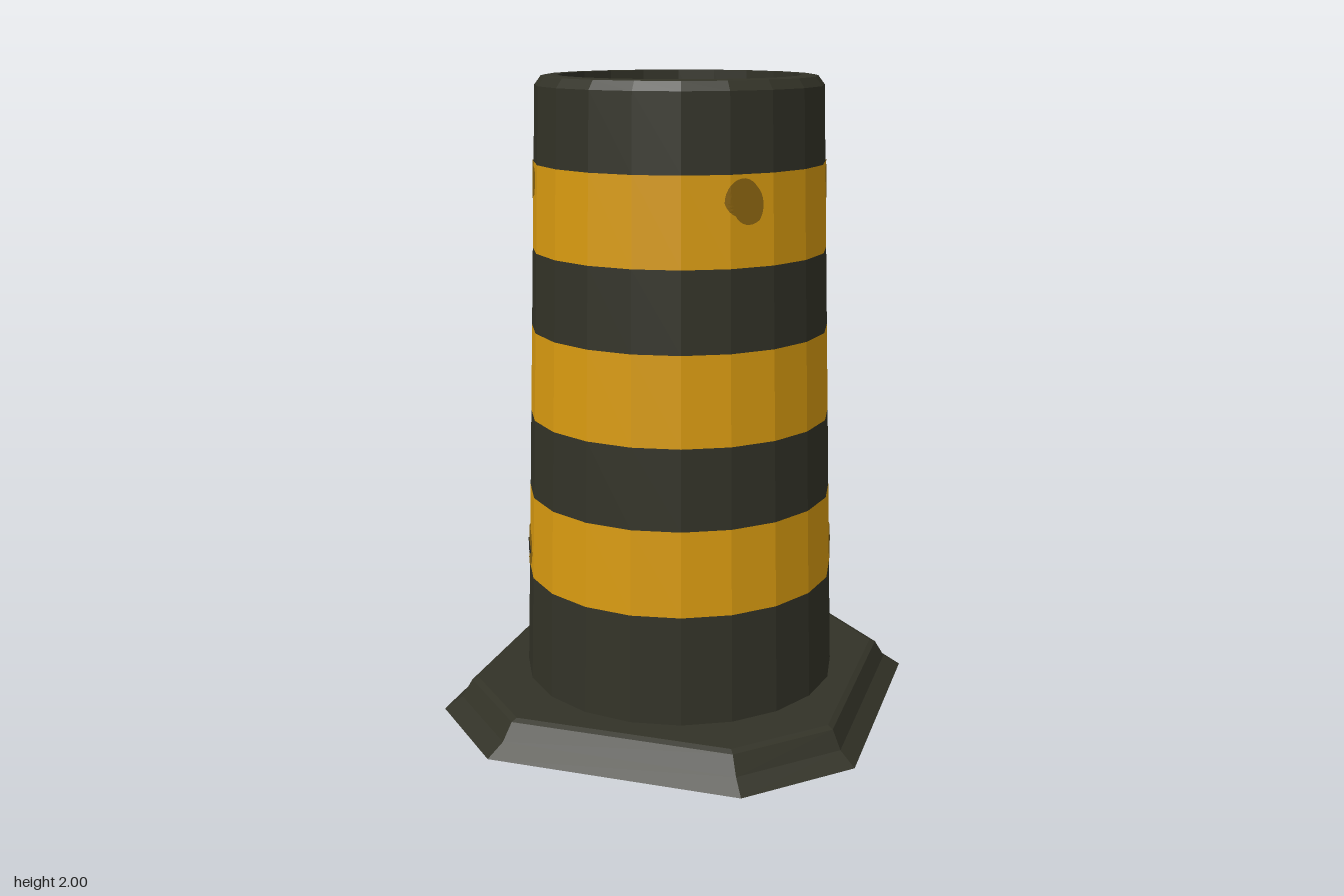
import * as THREE from 'three';

const SIDES = 20, STEP = (Math.PI * 2) / SIDES;
const INNER = 0.37;

const mat = (name, color, extra = {}) => {
  const m = new THREE.MeshStandardMaterial({ color, flatShading: true, ...extra });
  m.name = name;
  return m;
};

// Outer wall radius at a height
const outerRadius = (y) => 0.5 - (y - 0.1) * (0.06 / 1.87);
const innerRadius = () => INNER;
// Inside bands sit a little differently from the outside ones
const toInner = (y) => 0.1 + (y - 0.44) * 1.23;

// Octagon corners for half width w and corner offset c, counterclockwise
const octagon = (w, c) => [[w, -c], [w, c], [c, w], [-c, w], [-w, c], [-w, -c], [-c, -w], [c, -w]];

function octagonPlate(w, c, holeRadius) {
  const shape = new THREE.Shape(octagon(w, c).map(([x, y]) => new THREE.Vector2(x, y)));
  const hole = [];
  for (let i = 0; i < SIDES; i++) {
    hole.push(new THREE.Vector2(Math.sin(i * STEP) * holeRadius, Math.cos(i * STEP) * holeRadius));
  }
  shape.holes.push(new THREE.Path(hole));
  return new THREE.ShapeGeometry(shape);
}

// Sloping skirt joined from octagon cross-sections
function skirtGeometry(sections) {
  const pos = [], index = [];
  sections.forEach(([w, c, y]) => octagon(w, c).forEach(([x, z]) => pos.push(x, y, -z)));
  for (let s = 0; s < sections.length - 1; s++) {
    for (let i = 0; i < 8; i++) {
      const a = s * 8 + i, b = s * 8 + ((i + 1) % 8);
      index.push(a, b, b + 8, a, b + 8, a + 8);
    }
  }
  const g = new THREE.BufferGeometry();
  g.setAttribute('position', new THREE.Float32BufferAttribute(pos, 3));
  g.setIndex(index);
  g.computeVertexNormals();
  return g;
}

// Irregular thin patch wrapped on the faceted wall
function patchGeometry(angle, y, width, height, lobes, radiusAt, lift) {
  const g = new THREE.RingGeometry(0.001, 1, 32, 8);
  const p = g.attributes.position;
  for (let i = 0; i < p.count; i++) {
    const px = p.getX(i), py = p.getY(i);
    const t = (Math.atan2(py, px) / (Math.PI * 2) + 1) * lobes.length;
    const k = Math.floor(t), f = t - k;
    const size = lobes[k % lobes.length] * (1 - f) + lobes[(k + 1) % lobes.length] * f;
    const py2 = y + py * size * height / 2;
    const R = radiusAt(py2);
    const a = angle + px * size * width / 2 / R;
    const local = a - (Math.floor(a / STEP) + 0.5) * STEP;
    const r = R * Math.cos(STEP / 2) / Math.cos(local) + lift;
    p.setXYZ(i, Math.sin(a) * r, py2, Math.cos(a) * r);
  }
  g.computeVertexNormals();
  return g;
}

export function createModel() {
  const black = mat('charcoal rubber', 0x323227);
  const yellow = mat('amber band', 0xd89a10);
  const worn = mat('worn amber', 0x8c6510, { side: THREE.DoubleSide });
  const bare = mat('bare spot', 0x2c2c28, { side: THREE.DoubleSide });

  const model = new THREE.Group();
  model.name = 'trafficBollard';
  const add = (parent, name, geometry, material) => {
    const m = new THREE.Mesh(geometry, material);
    m.name = name;
    parent.add(m);
  };
  const lathe = (points) =>
    new THREE.LatheGeometry(points.map(([r, y]) => new THREE.Vector2(r, y)), SIDES);

  // Octagonal base
  const base = new THREE.Group();
  base.name = 'base';
  model.add(base);
  add(base, 'baseSkirt', skirtGeometry([
    [0.67, 0.395, 0], [0.62, 0.366, 0.037], [0.592, 0.348, 0.092], [0.575, 0.338, 0.1],
  ]), black);
  add(base, 'baseTop', octagonPlate(0.575, 0.338, 0.49).rotateX(-Math.PI / 2).translate(0, 0.1, 0), black);
  add(base, 'baseUnderside', octagonPlate(0.67, 0.395, INNER).rotateX(Math.PI / 2), black);

  // Tapered banded wall, outside and inside
  const levels = [0.1, 0.44, 0.705, 0.955, 1.23, 1.475, 1.74, 1.97];
  const wall = new THREE.Group();
  wall.name = 'wall';
  model.add(wall);
  for (let i = 0; i < levels.length - 1; i++) {
    const lo = levels[i], hi = levels[i + 1];
    const material = i % 2 ? yellow : black;
    add(wall, 'outerBand', lathe([[outerRadius(lo), lo], [outerRadius(hi), hi]]), material);
    const inLo = i === 0 ? 0 : toInner(lo);
    const inHi = i === levels.length - 2 ? 2 : toInner(hi);
    add(wall, 'innerBand', lathe([[INNER, inHi], [INNER, inLo]]), material);
  }

  // Bevelled top rim
  add(model, 'topRim', lathe([[outerRadius(1.97), 1.97], [0.42, 1.997], [0.408, 2], [INNER, 2]]), black);

  // Worn patches: angle in degrees, height, size and outline
  const patches = [
    [42, 1.66, 0.13, 0.145, [0.9, 0.85, 0.95, 1, 1, 0.7, 0.85, 1], worn, 0.003],
    [110.5, 1.675, 0.17, 0.13, [1, 1.1, 0.85, 1.15, 1, 0.75, 0.95, 0.8, 0.6, 0.85], worn, 0.003],
    [112, 0.507, 0.21, 0.132, [0.95, 0.95, 1, 1, 1, 0.9, 0.95, 0.85], worn, 0.003],
    [113, 0.51, 0.12, 0.05, [1, 0.6, 0.7, 0.9, 1, 0.5, 0.8, 0.9, 0.8], bare, 0.005],
  ];
  const marks = new THREE.Group();
  marks.name = 'wornPatches';
  model.add(marks);
  for (const turn of [0, 180]) {
    for (const [deg, y, w, h, lobes, material, lift] of patches) {
      const a = THREE.MathUtils.degToRad(deg + turn);
      add(marks, 'outerPatch', patchGeometry(a, y, w, h, lobes, outerRadius, lift), material);
      add(marks, 'innerPatch',
        patchGeometry(a, toInner(y), w * 0.8, h * 1.23, lobes, innerRadius, -lift), material);
    }
  }
  return model;
}
